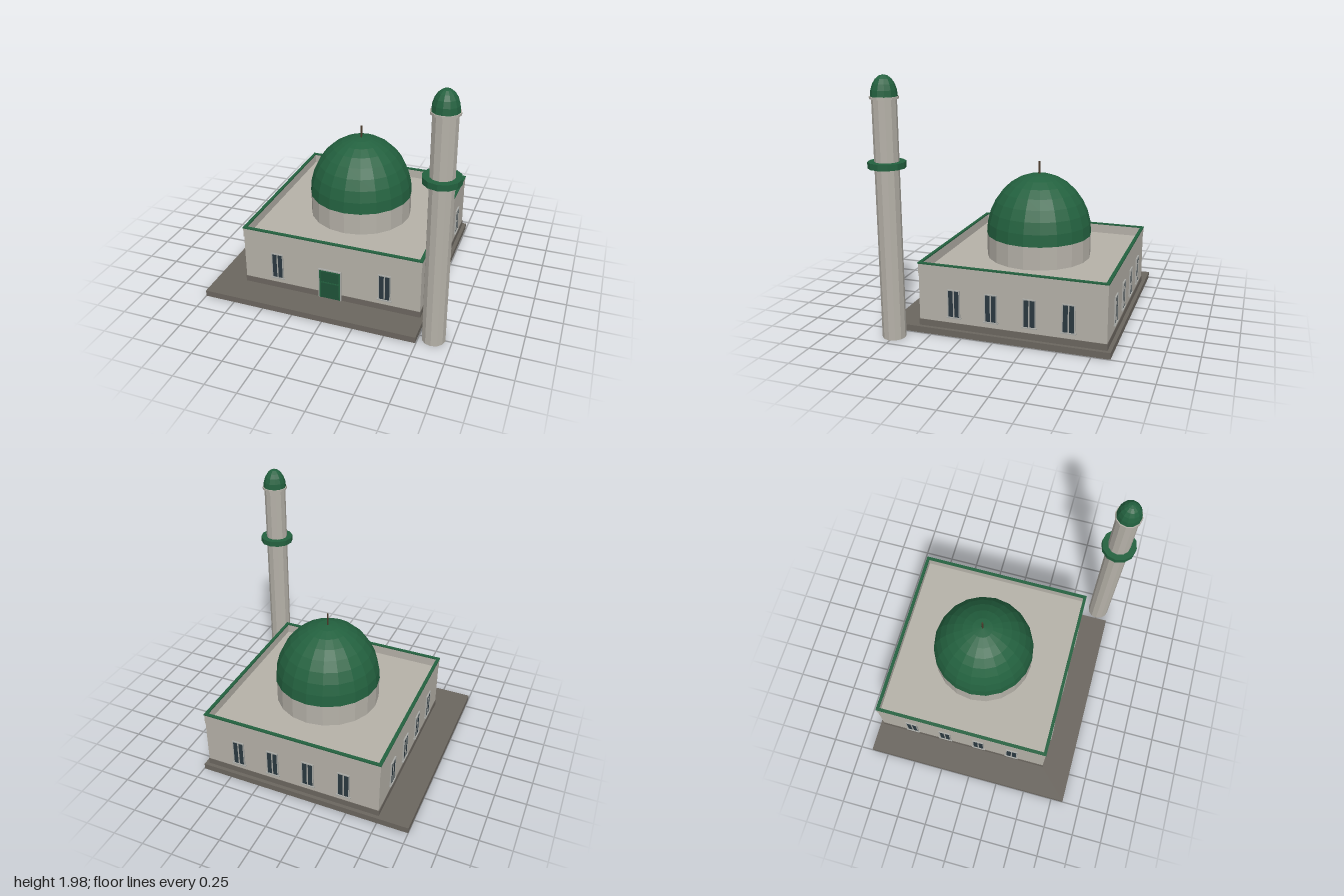
import * as THREE from 'three';

const material = (color, side = THREE.FrontSide) =>
  new THREE.MeshStandardMaterial({ color, side, flatShading: true });

export function createModel() {
  const stone = material(0xb5b1a8);
  const shaft = material(0xb5b1a8, THREE.DoubleSide);
  const dark = material(0x6b665f);
  const green = material(0x23613f);
  const doorGreen = material(0x1f5238);
  const glass = material(0x2a3840);
  const frame = material(0xa9aaa6);
  const brown = material(0x4a3a2a);

  const add = (parent, name, geometry, mat, x = 0, y = 0, z = 0) => {
    const mesh = new THREE.Mesh(geometry, mat);
    mesh.name = name;
    mesh.position.set(x, y, z);
    parent.add(mesh);
    return mesh;
  };
  // Box given by its bottom and top heights
  const box = (parent, name, mat, w, d, y0, y1, x = 0, z = 0) =>
    add(parent, name, new THREE.BoxGeometry(w, y1 - y0, d), mat, x, (y0 + y1) / 2, z);
  // Upright cylinder given by its bottom and top heights
  const column = (parent, name, mat, r, y0, y1, sides, open = false) =>
    add(parent, name, new THREE.CylinderGeometry(r, r, y1 - y0, sides, 1, open), mat, 0, (y0 + y1) / 2, 0);
  // Half ellipsoid standing on height y
  const dome = (parent, name, r, h, y, sides, rings) => {
    const g = new THREE.SphereGeometry(r, sides, rings, 0, Math.PI * 2, 0, Math.PI / 2);
    g.scale(1, h / r, 1);
    return add(parent, name, g, green, 0, y, 0);
  };
  // Square ring of given outer width, standing on height y0
  const squareRing = (parent, name, mat, width, thickness, y0, y1) => {
    const a = width / 2, b = a - thickness;
    const outline = (s) => [[-s, -s], [s, -s], [s, s], [-s, s]].map(([x, y]) => new THREE.Vector2(x, y));
    const shape = new THREE.Shape(outline(a));
    shape.holes.push(new THREE.Path(outline(b).reverse()));
    const g = new THREE.ExtrudeGeometry(shape, { depth: y1 - y0, bevelEnabled: false });
    g.rotateX(-Math.PI / 2);
    return add(parent, name, g, mat, 0, y0, 0);
  };

  const model = new THREE.Group();
  model.name = 'domedBuilding';

  // Paved platform
  box(model, 'platform', dark, 1.745, 1.74, 0, 0.05, -0.1275, -0.02);

  // Main hall with sunken roof and parapet
  const hall = new THREE.Group();
  hall.name = 'hall';
  hall.position.set(-0.02, 0, -0.125);
  model.add(hall);
  const half = 0.735;
  box(hall, 'walls', stone, 1.464, 1.464, 0.05, 0.47);
  box(hall, 'plinth', dark, 1.472, 1.472, 0.05, 0.1);
  squareRing(hall, 'parapet', stone, 1.47, 0.02, 0.47, 0.546);
  squareRing(hall, 'parapetTrim', green, 1.476, 0.026, 0.546, 0.556);

  // Drum, dome and finial
  column(hall, 'drum', stone, 0.42, 0.465, 0.655, 20);
  dome(hall, 'dome', 0.423, 0.485, 0.655, 20, 8);
  column(hall, 'finial', brown, 0.007, 1.13, 1.24, 8);

  // One window: glass, surround, mullion and sill
  const makeWindow = (x) => {
    const w = new THREE.Group();
    w.name = 'window';
    w.position.set(x, 0, half);
    box(w, 'glass', glass, 0.09, 0.012, 0.15, 0.36, 0, -0.002);
    for (const s of [-1, 1]) box(w, 'jamb', frame, 0.008, 0.016, 0.148, 0.368, s * 0.046);
    box(w, 'lintel', frame, 0.1, 0.016, 0.36, 0.368);
    box(w, 'mullion', frame, 0.01, 0.014, 0.15, 0.36);
    box(w, 'sill', frame, 0.116, 0.026, 0.14, 0.15);
    return w;
  };

  // Four walls: the front has two windows and the door
  for (let k = 0; k < 4; k++) {
    const wall = new THREE.Group();
    wall.name = 'wallOpenings';
    wall.rotation.y = k * Math.PI / 2;
    hall.add(wall);
    const places = k === 0 ? [-0.447, 0.447] : [-0.447, -0.15, 0.15, 0.447];
    places.forEach((x) => wall.add(makeWindow(x)));
  }

  // Door with surround
  const door = new THREE.Group();
  door.name = 'door';
  door.position.z = half;
  hall.add(door);
  box(door, 'doorLeaf', doorGreen, 0.17, 0.012, 0.05, 0.305);
  for (const s of [-1, 1]) {
    box(door, 'doorJamb', frame, 0.008, 0.02, 0.05, 0.315, s * 0.091);
    box(door, 'doorStile', green, 0.012, 0.017, 0.05, 0.306, s * 0.081);
  }
  box(door, 'doorLintel', frame, 0.19, 0.02, 0.306, 0.315);
  box(door, 'doorRail', green, 0.17, 0.016, 0.19, 0.2);
  box(door, 'doorHead', green, 0.174, 0.016, 0.294, 0.306);

  // Separate tower at the front corner
  const tower = new THREE.Group();
  tower.name = 'tower';
  tower.position.set(0.86, 0, 0.753);
  model.add(tower);
  column(tower, 'towerShaft', shaft, 0.09, 0, 1.81, 12, true);
  column(tower, 'balcony', green, 0.139, 1.31, 1.356, 12);
  column(tower, 'towerCornice', stone, 0.105, 1.805, 1.822, 12);
  dome(tower, 'towerDome', 0.097, 0.155, 1.82, 12, 5);

  return model;
}
